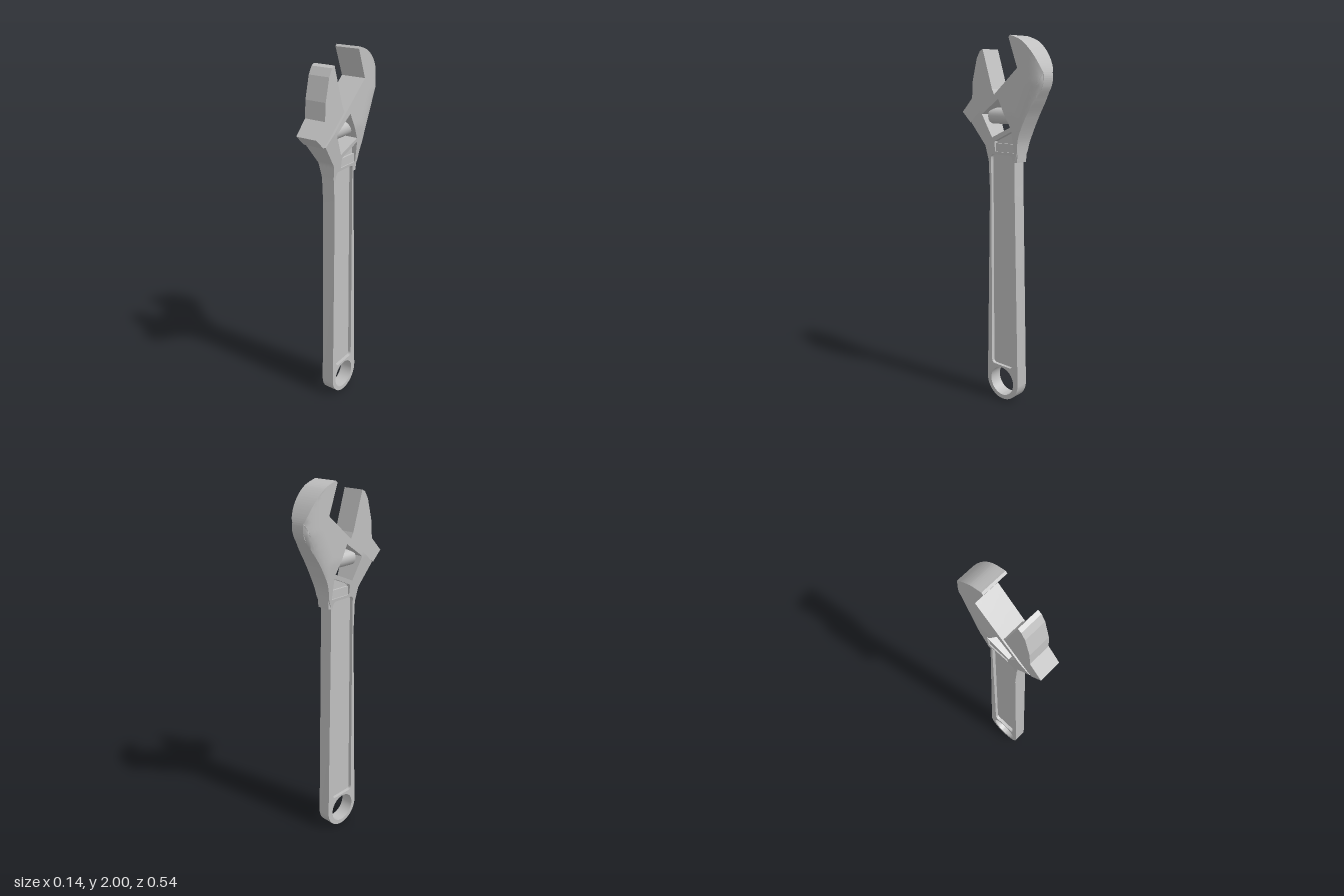
import * as THREE from 'three';
import { toCreasedNormals } from 'three/addons/utils/BufferGeometryUtils.js';

const steel = new THREE.MeshStandardMaterial({ color: 0xc0c0c0 });
steel.name = 'steel';

// Profile points are [z, y]; the extrusion runs along x.
const toShape2D = ([z, y]) => new THREE.Vector2(-z, y);
const polygon = (points) => new THREE.Shape(points.map(toShape2D));

function extrude(shape, thickness) {
  const geo = new THREE.ExtrudeGeometry(shape, { depth: thickness, bevelEnabled: false, curveSegments: 20 });
  return geo.translate(0, 0, -thickness / 2).rotateY(Math.PI / 2);
}

function addPart(group, name, geometry) {
  const mesh = new THREE.Mesh(geometry, steel);
  mesh.name = name;
  group.add(mesh);
  return mesh;
}

// Rectangle with rounded corners, in [z, y] limits
function roundedPanel(z0, z1, y0, y1, r) {
  const pts = [];
  const corners = [[z1 - r, y1 - r], [z0 + r, y1 - r], [z0 + r, y0 + r], [z1 - r, y0 + r]];
  corners.forEach(([z, y], i) => {
    for (let k = 0; k <= 4; k++) {
      const a = (i + k / 4) * Math.PI / 2;
      pts.push([z + r * Math.cos(a), y + r * Math.sin(a)]);
    }
  });
  return polygon(pts);
}

// Half thickness of the body: thin handle, thick head, rounded back edge
const HANDLE = 0.037, HEAD = 0.07;
function halfThickness(z, y) {
  const rise = THREE.MathUtils.clamp((y - 1.36) / 0.25, 0, 1);
  const backZ = -0.267 + Math.max(0, 1.77 - y) * 0.45;
  const e = THREE.MathUtils.clamp((backZ + 0.11 - z) / 0.11, 0, 1);
  const span = HEAD - HANDLE;
  return Math.min(HANDLE + span * rise, HANDLE + span * Math.sqrt(1 - e * e));
}

// Splits long edges in the head so that it can be curved
function refine(geometry, maxEdge, fromY) {
  const p = geometry.index ? geometry.toNonIndexed().attributes.position : geometry.attributes.position;
  const v = (i) => new THREE.Vector3().fromBufferAttribute(p, i);
  const stack = [], out = [];
  for (let i = 0; i < p.count; i += 3) stack.push([v(i), v(i + 1), v(i + 2)]);
  while (stack.length) {
    const t = stack.pop();
    let best = -1, longest = maxEdge;
    for (let k = 0; k < 3; k++) {
      const a = t[k], b = t[(k + 1) % 3], d = a.distanceTo(b);
      if (Math.max(a.y, b.y) > fromY && d > longest + 1e-6) { longest = d; best = k; }
    }
    if (best < 0) { out.push(...t); continue; }
    const a = t[best], b = t[(best + 1) % 3], c = t[(best + 2) % 3];
    const m = a.clone().add(b).multiplyScalar(0.5);
    stack.push([a, m, c], [m, b, c]);
  }
  return new THREE.BufferGeometry().setFromPoints(out);
}

function bodyGeometry() {
  const s = new THREE.Shape();
  const line = (pts) => pts.map(toShape2D).forEach((p) => s.lineTo(p.x, p.y));
  s.moveTo(0.11, 0.11);
  // Back of the handle and small step below the head
  line([[-0.085, 1.2], [-0.083, 1.36], [-0.1, 1.36]]);
  // Curved back of the head
  s.splineThru([[-0.117, 1.475], [-0.17, 1.595], [-0.225, 1.685], [-0.264, 1.755], [-0.267, 1.82],
    [-0.222, 1.905], [-0.155, 1.97], [-0.08, 2]].map(toShape2D));
  // Fixed jaw tip, gripping face, slide and front of the handle
  line([[-0.07, 1.99], [-0.127, 1.84], [0.2, 1.56], [0.112, 1.44], [0.098, 1.36], [0.09, 1.2], [0.114, 0.11]]);
  // Rounded end of the handle
  s.absarc(-0.002, 0.112, 0.112, Math.PI, Math.PI * 2, false);

  // Hanging hole, handle recesses, adjuster pocket and worm window
  const eye = new THREE.Path();
  eye.absarc(-0.005, 0.106, 0.082, 0, Math.PI * 2, true);
  s.holes.push(eye,
    roundedPanel(-0.07, 0.08, 0.2, 1.395, 0.02),
    polygon([[0.045, 1.41], [0.045, 1.465], [-0.08, 1.522], [-0.085, 1.41]]),
    polygon([[0, 1.686], [-0.074, 1.543], [0.058, 1.485], [0.115, 1.605]]));

  const geo = refine(extrude(s, HEAD * 2), 0.03, 1.33);
  const p = geo.attributes.position;
  for (let i = 0; i < p.count; i++) {
    p.setX(i, p.getX(i) / HEAD * halfThickness(p.getZ(i), p.getY(i)));
  }
  return toCreasedNormals(geo, 0.5);
}

export function createModel() {
  const wrench = new THREE.Group();
  wrench.name = 'adjustableWrench';

  addPart(wrench, 'body', bodyGeometry());

  // Thin webs closing the recesses
  addPart(wrench, 'handleWeb', extrude(roundedPanel(-0.072, 0.082, 0.198, 1.397, 0.02), 0.036));
  addPart(wrench, 'pocketWeb', extrude(
    polygon([[0.047, 1.408], [0.047, 1.466], [-0.081, 1.524], [-0.087, 1.408]]), 0.05));

  // Raised bar across the pocket
  addPart(wrench, 'pocketBar', extrude(
    polygon([[0.045, 1.405], [0.045, 1.455], [-0.086, 1.455], [-0.086, 1.405]]), 0.074));

  // Movable jaw resting on the slide
  addPart(wrench, 'movableJaw', extrude(polygon([
    [0.117, 1.938], [0.137, 1.928], [0.16, 1.89], [0.19, 1.776], [0.196, 1.686],
    [0.267, 1.612], [0.21, 1.558], [0.127, 1.617], [0.034, 1.699], [0.053, 1.735],
  ]), 0.12)).position.x = -0.002;

  // Worm screw lying in the window
  const worm = addPart(wrench, 'wormScrew', new THREE.CylinderGeometry(0.042, 0.042, 0.153, 24));
  worm.rotation.x = Math.PI / 2;
  worm.position.set(0, 1.596, 0.019);

  return wrench;
}
